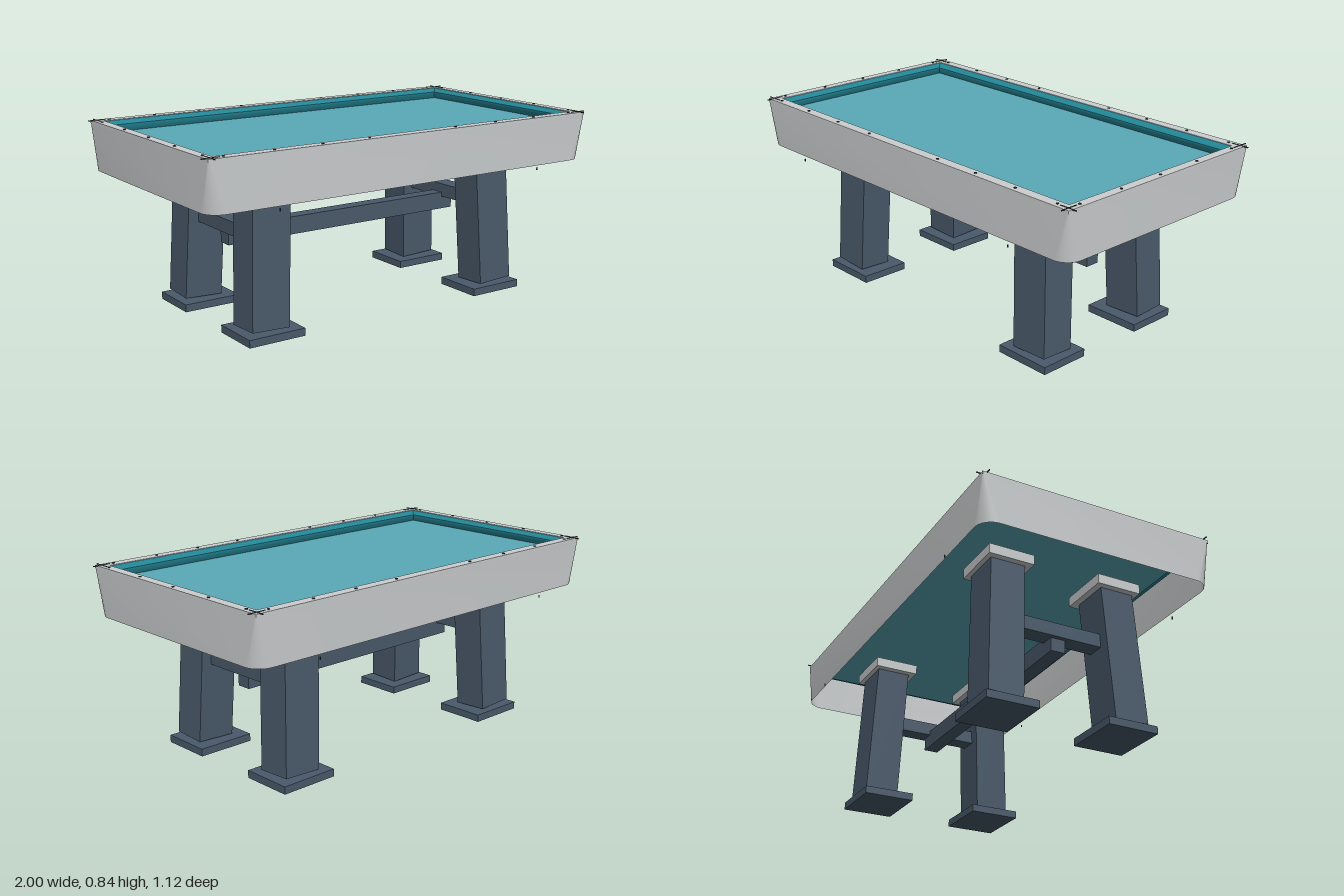
import * as THREE from 'three';
import { toCreasedNormals } from 'three/addons/utils/BufferGeometryUtils.js';

const mat = (name, color, side = THREE.FrontSide) => {
  const m = new THREE.MeshStandardMaterial({ color, side });
  m.name = name;
  return m;
};

// Outline of a rounded rectangle at height y, with a fixed number of points
function roundedRing(hx, hz, r, y, steps) {
  const ring = [];
  [[1, 1], [-1, 1], [-1, -1], [1, -1]].forEach(([sx, sz], q) => {
    for (let i = 0; i <= steps; i++) {
      const a = (q + (steps ? i / steps : 0)) * Math.PI / 2;
      const ca = steps ? Math.cos(a) : 0, sa = steps ? Math.sin(a) : 0;
      ring.push([sx * (hx - r) + r * ca, y, sz * (hz - r) + r * sa]);
    }
  });
  return ring;
}

// Skin between successive closed rings
function loft(rings) {
  const pos = [], index = [], n = rings[0].length;
  rings.forEach((ring) => ring.forEach((p) => pos.push(...p)));
  for (let k = 0; k < rings.length - 1; k++) {
    for (let i = 0; i < n; i++) {
      const a = k * n + i, b = k * n + (i + 1) % n;
      index.push(a, a + n, b, b, a + n, b + n);
    }
  }
  const g = new THREE.BufferGeometry();
  g.setAttribute('position', new THREE.Float32BufferAttribute(pos, 3));
  g.setIndex(index);
  return toCreasedNormals(g, 0.6);
}

export function createModel() {
  const group = new THREE.Group();
  const grey = mat('lightGrey', 0xcbcecf);
  const greySheet = mat('lightGreySkirt', 0xcbcecf, THREE.DoubleSide);
  const slate = mat('slateBlue', 0x4a5a6b);
  const cloth = mat('tealCloth', 0x5aaab8);
  const cushionTeal = mat('deepTeal', 0x238595, THREE.DoubleSide);
  const dark = mat('darkMetal', 0x30363a);

  const add = (name, geometry, material, x = 0, y = 0, z = 0) => {
    const m = new THREE.Mesh(geometry, material);
    m.name = name;
    m.position.set(x, y, z);
    group.add(m);
    return m;
  };
  const box = (name, w, h, d, material, x, y, z) =>
    add(name, new THREE.BoxGeometry(w, h, d), material, x, y, z);

  // Skirt: square corners at the top blending to round corners below
  add('skirt', loft([
    roundedRing(0.98, 0.54, 0.004, 0.825, 8),
    roundedRing(0.98, 0.54, 0.075, 0.615, 8),
  ]), greySheet);

  // Flat rail frame around the top
  const rect = (shape, hx, hz) => shape.moveTo(-hx, -hz).lineTo(hx, -hz)
    .lineTo(hx, hz).lineTo(-hx, hz).closePath();
  const frame = rect(new THREE.Shape(), 0.98, 0.54);
  frame.holes.push(rect(new THREE.Path(), 0.938, 0.493));
  const railGeo = new THREE.ExtrudeGeometry(frame, { depth: 0.012, bevelEnabled: false });
  railGeo.rotateX(-Math.PI / 2);
  add('railFrame', railGeo, grey, 0, 0.822, 0);

  // Cushions: sloping top, narrow nose, undercut down to the bed
  add('cushions', loft([[0.94, 0.495, 0.832], [0.908, 0.46, 0.816], [0.908, 0.46, 0.806],
    [0.925, 0.477, 0.775], [0.945, 0.5, 0.775], [0.945, 0.5, 0.82]]
    .map(([hx, hz, y]) => roundedRing(hx, hz, 0, y, 0))), cushionTeal);

  // Playing bed
  box('bed', 1.85, 0.015, 0.954, cloth, 0, 0.776, 0);

  // Sight dots on the rails
  const dotGeo = new THREE.CylinderGeometry(0.006, 0.006, 0.004, 10);
  for (const s of [-1, 1]) {
    for (const x of [0.227, 0.455, 0.68, 0.902]) {
      for (const t of [-1, 1]) add('railSight', dotGeo, dark, t * x, 0.835, s * 0.518);
    }
    for (let i = -2; i <= 2; i++) add('railSight', dotGeo, dark, s * 0.96, 0.835, i * 0.23);
  }

  const tilt = 0.043;
  for (const sx of [-1, 1]) {
    for (const sz of [-1, 1]) {
      // Leaning leg with a foot and a mounting plate
      const leg = box('leg', 0.18, 0.64, 0.158, slate, sx * 0.602, 0.363, sz * 0.279);
      leg.rotation.set(-sz * tilt, 0, sx * tilt);
      box('foot', 0.27, 0.034, 0.236, slate, sx * 0.6, 0.017, sz * 0.278);
      box('mountingPlate', 0.24, 0.045, 0.21, grey, sx * 0.588, 0.685, sz * 0.262);

      // Small corner cross and the pin under the skirt
      box('cornerPin', 0.08, 0.004, 0.004, dark, sx * 0.96, 0.834, sz * 0.52);
      box('cornerPin', 0.004, 0.004, 0.08, dark, sx * 0.96, 0.834, sz * 0.518);
      box('skirtPin', 0.004, 0.012, 0.004, dark, sx * 0.68, 0.605, sz * 0.555);
    }
    // Crossbar joining the front and back leg
    box('crossbar', 0.08, 0.062, 0.44, slate, sx * 0.6, 0.425, 0);
  }

  // Long stretcher between the crossbars
  box('stretcher', 1.24, 0.08, 0.068, slate, 0, 0.374, 0);

  return group;
}
